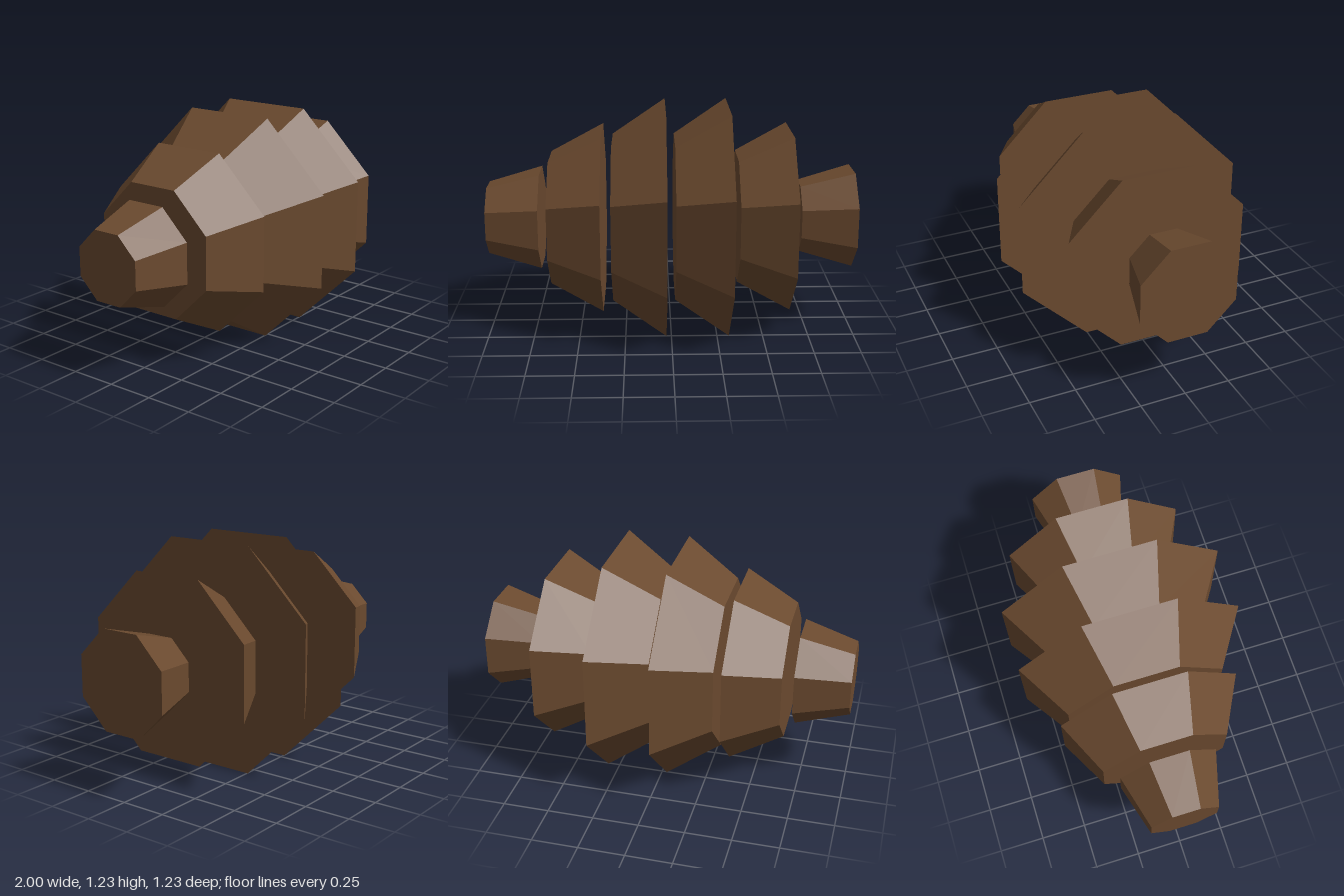
import * as THREE from 'three';

const SIDES = 8;
const CENTRE_Y = 0.615;
// Flat-to-centre distances are converted to corner radii
const corner = (flat) => flat / Math.cos(Math.PI / SIDES);

export function createModel() {
  const model = new THREE.Group();
  model.name = 'segmentedBody';
  const brown = new THREE.MeshStandardMaterial({ color: 0x6b4a2f });
  brown.name = 'brown';
  brown.flatShading = true;

  // Each segment: start x, end x, narrow half-height, wide half-height
  const segments = [
    ['rightEndSegment', -1, -0.71, 0.184, 0.263],
    ['rightMiddleSegment', -0.658, -0.371, 0.34, 0.484],
    ['rightCentreSegment', -0.318, -0.027, 0.429, 0.613],
    ['leftCentreSegment', 0.022, 0.315, 0.429, 0.613],
    ['leftMiddleSegment', 0.364, 0.652, 0.34, 0.484],
    ['leftEndSegment', 0.708, 1, 0.184, 0.263],
  ];

  // Tapered octagonal rings, all widening towards +x
  for (const [name, x0, x1, narrow, wide] of segments) {
    const geometry = new THREE.CylinderGeometry(corner(wide), corner(narrow), x1 - x0, SIDES);
    geometry.rotateY(Math.PI / SIDES);
    geometry.rotateZ(-Math.PI / 2);
    const segment = new THREE.Mesh(geometry, brown);
    segment.name = name;
    segment.position.set((x0 + x1) / 2, CENTRE_Y, 0);
    model.add(segment);
  }
  return model;
}
